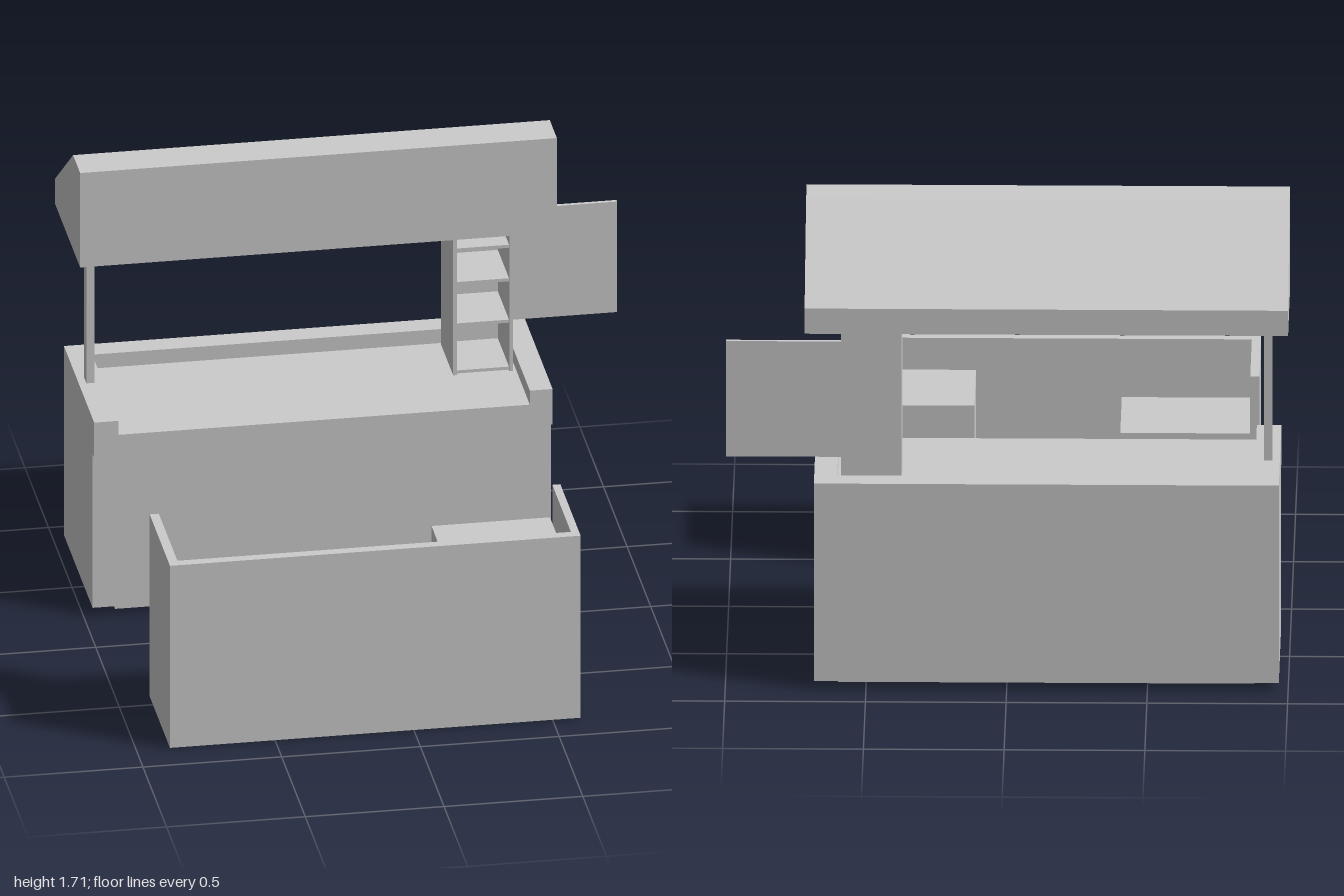
import * as THREE from 'three';

const material = new THREE.MeshStandardMaterial({ color: 0xcccccc, flatShading: true });

function mesh(name, geometry, parent) {
  const m = new THREE.Mesh(geometry, material);
  m.name = name;
  parent.add(m);
  return m;
}

// Box given by its extents along each axis
function box(name, parent, [x0, x1], [y0, y1], [z0, z1]) {
  const m = mesh(name, new THREE.BoxGeometry(x1 - x0, y1 - y0, z1 - z0), parent);
  m.position.set((x0 + x1) / 2, (y0 + y1) / 2, (z0 + z1) / 2);
  return m;
}

function extrude(points, depth) {
  const shape = new THREE.Shape(points.map(([a, b]) => new THREE.Vector2(a, b)));
  return new THREE.ExtrudeGeometry(shape, { depth, bevelEnabled: false });
}

function part(name, parent) {
  const g = new THREE.Group();
  g.name = name;
  parent.add(g);
  return g;
}

export function createModel() {
  const model = new THREE.Group();
  model.name = 'marketStall';

  // Main counter with plinth, front ledge and a raised rim open at the front
  const counter = part('counter', model);
  box('plinth', counter, [-0.88, 0.6], [0, 0.03], [-0.79, -0.3]);
  box('counterBody', counter, [-0.967, 0.685], [0.03, 0.72], [-0.867, -0.26]);
  box('frontLedge', counter, [-0.967, 0.685], [0.635, 0.72], [-0.26, -0.227]);
  const rim = extrude([
    [-0.967, 0.227], [-0.88, 0.227], [-0.88, 0.78], [0.603, 0.78],
    [0.603, 0.227], [0.685, 0.227], [0.685, 0.867], [-0.967, 0.867],
  ], 0.055);
  rim.rotateX(-Math.PI / 2);
  rim.translate(0, 0.72, 0);
  mesh('counterRim', rim, counter);

  // Canopy: side profile swept along x
  const canopy = extrude([
    [0.33, 1.34], [0.867, 1.34], [0.867, 1.435], [0.48, 1.712], [0.33, 1.712],
  ], 1.718);
  canopy.rotateY(Math.PI / 2);
  canopy.translate(-1, 0, 0);
  mesh('canopy', canopy, model);
  box('canopyPost', model, [-0.94, -0.91], [0.775, 1.34], [-0.6, -0.55]);

  // Open-fronted shelf cabinet with its door swung out
  const cabinet = part('shelfCabinet', model);
  for (const [name, x] of [['cabinetRightSide', 0.375], ['cabinetLeftSide', 0.577]])
    box(name, cabinet, [x, x + 0.013], [0.72, 1.34], [-0.765, -0.51]);
  box('cabinetBack', cabinet, [0.388, 0.577], [0.72, 1.34], [-0.765, -0.752]);
  for (const y of [0.73, 0.915, 1.078, 1.21])
    box('shelf', cabinet, [0.388, 0.577], [y - 0.006, y + 0.006], [-0.752, -0.515]);
  box('cabinetDoor', cabinet, [0.585, 1], [0.825, 1.26], [-0.724, -0.71]);

  // Separate low bar in front: three panels and two storage blocks
  const bar = part('frontBar', model);
  box('barFrontPanel', bar, [-0.88, 0.6], [0.003, 0.72], [0.83, 0.867]);
  box('barRightPanel', bar, [-0.88, -0.847], [0.003, 0.72], [0.437, 0.83]);
  box('barLeftPanel', bar, [0.571, 0.6], [0.003, 0.72], [0.437, 0.83]);
  box('lowStorage', bar, [-0.847, -0.385], [0, 0.5], [0.452, 0.83]);
  box('tallStorage', bar, [0.133, 0.56], [0, 0.6], [0.452, 0.83]);

  return model;
}
